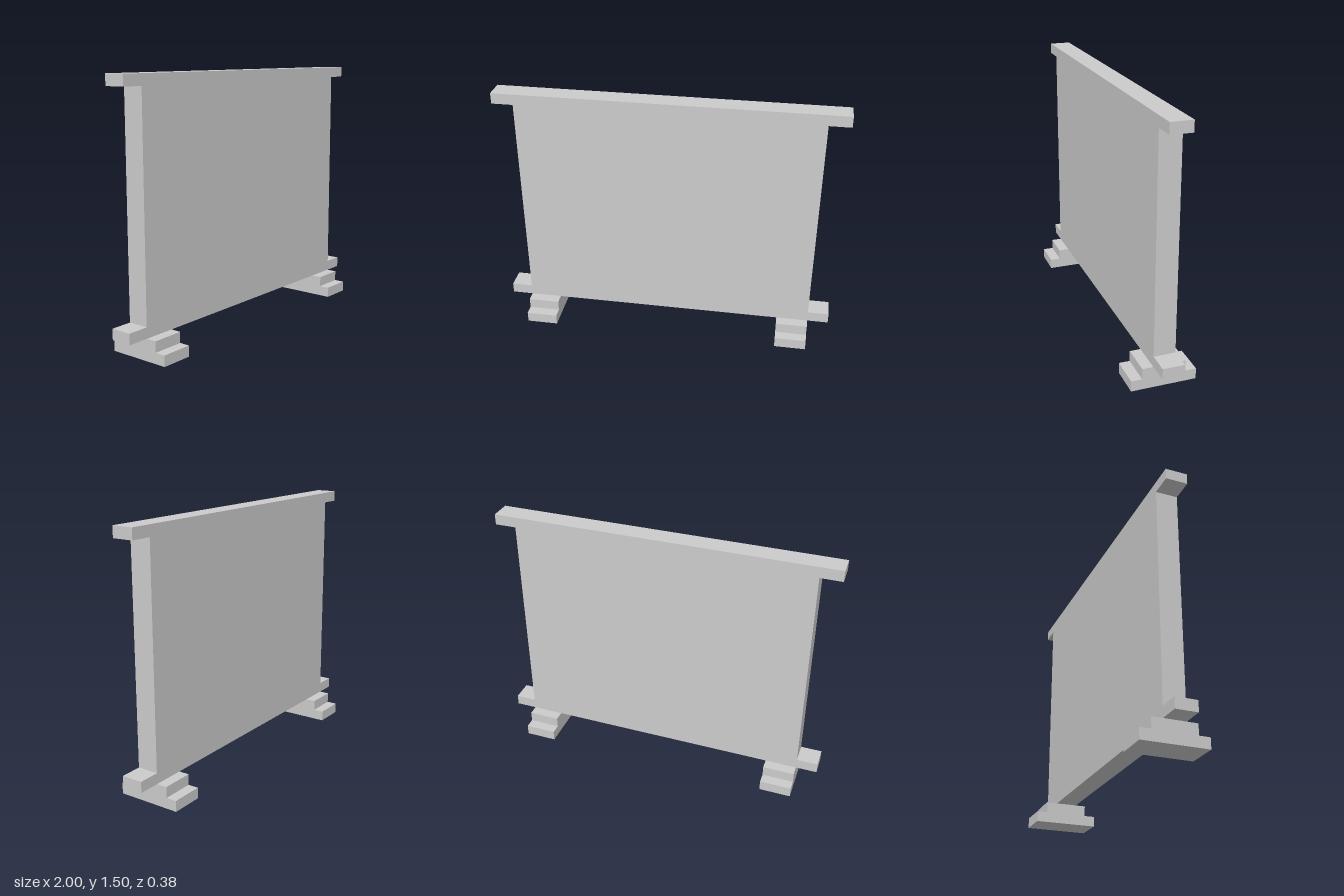
import * as THREE from 'three';

const U = 1 / 16; // base module: every size is a whole number of these
const material = new THREE.MeshStandardMaterial({ color: 0xcccccc, flatShading: true });

// Extrudes the right half of an outline, mirrored about its vertical axis, centred in depth
function symmetricSlab(name, half, depth) {
  const mirrored = half.map(([x, y]) => [-x, y]).reverse();
  const points = [...half, ...mirrored].map(([x, y]) => new THREE.Vector2(x * U, y * U));
  const geometry = new THREE.ExtrudeGeometry(new THREE.Shape(points), {
    depth: depth * U, bevelEnabled: false,
  });
  geometry.translate(0, 0, -depth * U / 2);
  const mesh = new THREE.Mesh(geometry, material);
  mesh.name = name;
  return mesh;
}

export function createModel() {
  const model = new THREE.Group();
  model.name = 'standingScreen';

  // Panel with flush top and bottom rails that overhang its sides
  model.add(symmetricSlab('panelWithRails', [
    [16, 2], [16, 3], [14, 3], [14, 23], [16, 23], [16, 24],
  ], 2));

  // Stepped feet running front to back under the bottom rail
  for (const [name, side] of [['leftFoot', 1], ['rightFoot', -1]]) {
    const foot = symmetricSlab(name, [[3, 0], [3, 1], [2, 1], [2, 2]], 3);
    foot.rotation.y = Math.PI / 2;
    foot.position.x = side * 12.5 * U;
    model.add(foot);
  }

  return model;
}
